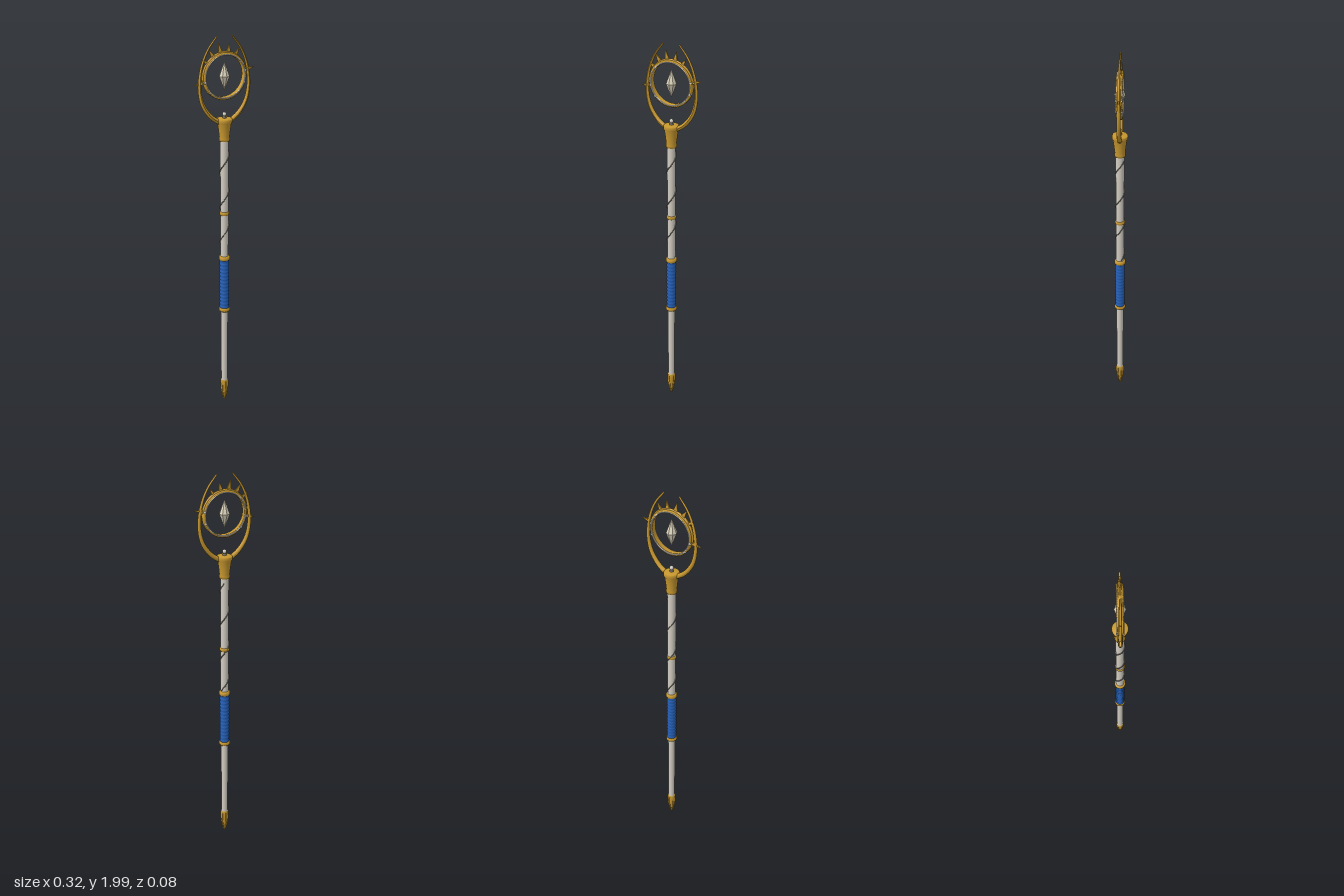
import * as THREE from 'three';

const mat = (color) => new THREE.MeshStandardMaterial({ color });
const GOLD = mat(0xc8982f), SILVER = mat(0xd2cdc2), DARK = mat(0x77736a), BLUE = mat(0x2560b8);
const CRYSTAL = mat(0xd8d0b8);
CRYSTAL.flatShading = true;
const HALO_Y = 1.805;

export function createModel() {
  const root = new THREE.Group();
  root.name = 'staff';

  const add = (name, geo, material, x = 0, y = 0, z = 0, parent = root) => {
    const m = new THREE.Mesh(geo, material);
    m.name = name;
    m.position.set(x, y, z);
    parent.add(m);
    return m;
  };
  const lathe = (name, pts, material, seg = 24) =>
    add(name, new THREE.LatheGeometry(pts.map(([r, y]) => new THREE.Vector2(r, y)), seg), material);
  const band = (name, y, r, h) => {
    const b = h * 0.25;
    lathe(name, [[0.012, y - h / 2], [r - b, y - h / 2], [r, y - h / 2 + b],
      [r, y + h / 2 - b], [r - b, y + h / 2], [0.012, y + h / 2]], GOLD);
  };

  // Pointed foot with raised ribs
  lathe('footCap', [[0, 0.003], [0.005, 0.018], [0.012, 0.04], [0.018, 0.075], [0.02, 0.11],
    [0.021, 0.135], [0.016, 0.136]], GOLD);
  for (let i = 0; i < 6; i++) {
    const a = (i / 6) * Math.PI * 2;
    const path = new THREE.CatmullRomCurve3([[0.003, 0.01], [0.012, 0.04], [0.018, 0.075], [0.02, 0.13]]
      .map(([r, y]) => new THREE.Vector3(r * Math.sin(a), y, r * Math.cos(a))));
    add('footRib', new THREE.TubeGeometry(path, 10, 0.0025, 6), GOLD);
  }

  // Shaft, lower and upper
  add('lowerShaft', new THREE.CylinderGeometry(0.0185, 0.017, 0.45, 20), SILVER, 0, 0.355);
  add('upperShaft', new THREE.CylinderGeometry(0.021, 0.02, 0.65, 20), SILVER, 0, 1.185);

  // Wrapped grip with rounded windings
  const grip = [];
  const turns = 14, y0 = 0.572, y1 = 0.858;
  for (let i = 0; i <= turns * 4; i++) {
    const t = i / (turns * 4);
    grip.push([0.0228 + 0.0025 * Math.abs(Math.sin(t * turns * Math.PI)), y0 + (y1 - y0) * t]);
  }
  lathe('grip', grip, BLUE);
  band('lowerCollar', 0.567, 0.029, 0.025);
  band('upperCollar', 0.861, 0.029, 0.025);
  band('shaftRing', 1.108, 0.0245, 0.022);

  // Thin wire winding up the shaft
  const wire = [];
  for (let i = 0; i <= 60; i++) {
    const y = 0.88 + 0.585 * (i / 60);
    const a = ((y - 1.385) / 0.187) * Math.PI * 2;
    wire.push(new THREE.Vector3(0.0225 * Math.sin(a), y, 0.0225 * Math.cos(a)));
  }
  add('wire', new THREE.TubeGeometry(new THREE.CatmullRomCurve3(wire), 140, 0.0027, 6), DARK);

  // Flared socket and the small gem on it
  lathe('socket', [[0.018, 1.485], [0.026, 1.487], [0.027, 1.5], [0.025, 1.505], [0.029, 1.54],
    [0.034, 1.575], [0.038, 1.58], [0.039, 1.593], [0.036, 1.6], [0, 1.602]], GOLD);
  add('socketStem', new THREE.CylinderGeometry(0.007, 0.011, 0.018, 10), DARK, 0, 1.606);
  add('socketGem', new THREE.SphereGeometry(0.0105, 12, 8), SILVER, 0, 1.62);

  // Two curved prongs, tapering to their tips
  const taperedTube = (curve, r0, r1, n = 40, sides = 10) => {
    const geo = new THREE.TubeGeometry(curve, n, 1, sides);
    const p = geo.attributes.position, v = new THREE.Vector3();
    for (let i = 0; i <= n; i++) {
      const c = curve.getPointAt(i / n), r = r0 + (r1 - r0) * (i / n);
      for (let j = 0; j <= sides; j++) {
        const k = i * (sides + 1) + j;
        v.fromBufferAttribute(p, k).sub(c).multiplyScalar(r).add(c);
        p.setXYZ(k, v.x, v.y, v.z);
      }
    }
    geo.computeVertexNormals();
    return geo;
  };
  for (const s of [-1, 1]) {
    const path = new THREE.CatmullRomCurve3([[0.015, 1.575], [0.07, 1.612], [0.112, 1.67], [0.129, 1.735],
      [0.129, 1.8], [0.115, 1.87], [0.086, 1.935], [0.042, 1.992]]
      .map(([x, y]) => new THREE.Vector3(s * x, y, 0)));
    add(s > 0 ? 'leftProng' : 'rightProng', taperedTube(path, 0.0125, 0.004), GOLD);
    add('prongTip', new THREE.SphereGeometry(0.004, 8, 6), GOLD, s * 0.042, 1.992);
  }

  // Halo ring, slightly tilted in its plane
  const halo = new THREE.Group();
  halo.name = 'halo';
  halo.position.y = HALO_Y;
  halo.rotation.z = THREE.MathUtils.degToRad(11);
  root.add(halo);
  const ringProfile = [[0.1, -0.011], [0.106, -0.015], [0.113, -0.011], [0.113, 0.011],
    [0.106, 0.015], [0.1, 0.011], [0.1, -0.011]].map(([r, y]) => new THREE.Vector2(r, y));
  add('haloRing', new THREE.LatheGeometry(ringProfile, 64), GOLD, 0, 0, 0, halo).rotation.x = Math.PI / 2;
  for (const s of [-1, 1])
    add('haloRim', new THREE.TorusGeometry(0.104, 0.0035, 8, 64), SILVER, 0, 0, s * 0.013, halo);
  add('haloCrest', new THREE.TorusGeometry(0.111, 0.008, 8, 40, Math.PI), GOLD, 0, 0, 0, halo);

  // Flat rays standing on the upper half of the ring
  const ray = (deg, half, tip) => {
    const shape = new THREE.Shape([new THREE.Vector2(0.106, -half), new THREE.Vector2(tip, 0),
      new THREE.Vector2(0.106, half)]);
    const geo = new THREE.ExtrudeGeometry(shape, { depth: 0.007, bevelEnabled: false });
    geo.translate(0, 0, -0.0035);
    add('haloRay', geo, GOLD, 0, 0, 0, halo).rotation.z = THREE.MathUtils.degToRad(deg);
  };
  ray(90, 0.014, 0.16);
  for (const s of [-1, 1]) {
    ray(90 + s * 21, 0.013, 0.156);
    ray(90 + s * 42, 0.011, 0.148);
    ray(90 + s * 90, 0.011, 0.163);
  }

  // Small studs round the sides of the ring
  for (const deg of [-30, 0, 180, 210])
    for (const s of [-1, 1]) {
      const a = THREE.MathUtils.degToRad(deg);
      add('haloStud', new THREE.SphereGeometry(0.006, 10, 8), SILVER,
        0.108 * Math.cos(a), 0.108 * Math.sin(a), s * 0.012, halo);
    }

  // Faceted crystal floating in the ring
  const crystal = new THREE.LatheGeometry([[0, -0.07], [0.027, 0], [0, 0.07]]
    .map(([r, y]) => new THREE.Vector2(r, y)), 8);
  add('crystal', crystal, CRYSTAL, 0, HALO_Y);

  return root;
}
